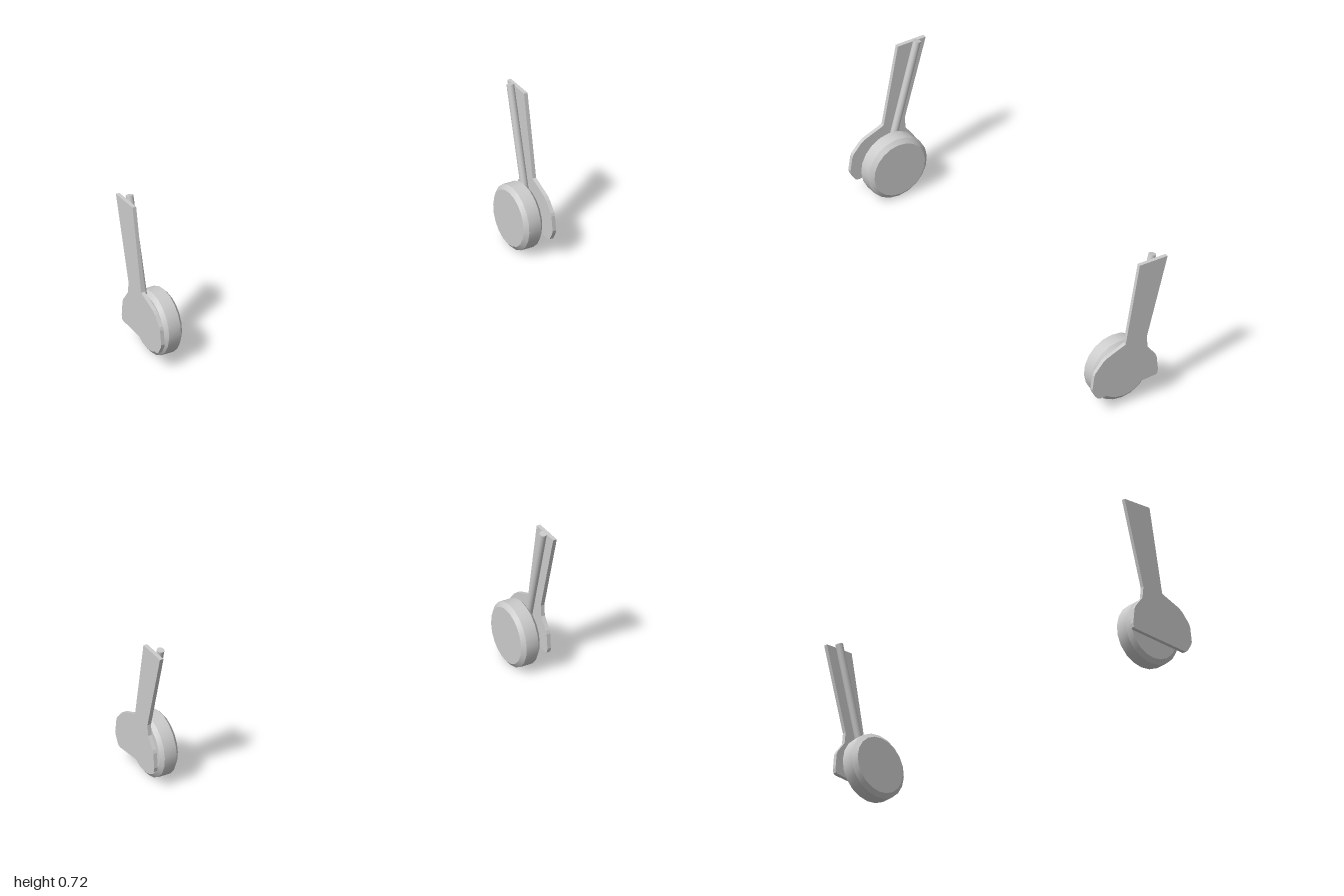
import * as THREE from 'three';
import { toCreasedNormals } from 'three/addons/utils/BufferGeometryUtils.js';

const material = new THREE.MeshStandardMaterial({ color: 0xcccccc });

function part(name, geometry) {
  const mesh = new THREE.Mesh(geometry, material);
  mesh.name = name;
  return mesh;
}

// Flat cover plate, outline given as [z, y]
function coverGeometry() {
  const outline = [
    [-0.05, 0.71], [-0.193, 0.71], [-0.085, 0.32], [-0.09, 0.268],
    [-0.13, 0.215], [-0.136, 0.2], [-0.143, 0.13], [-0.139, 0.112], [-0.133, 0.106],
    [0.155, 0.082], [0.168, 0.088], [0.174, 0.097], [0.19, 0.125], [0.194, 0.14],
    [0.184, 0.208], [0.178, 0.222], [0.14, 0.265], [0.122, 0.279], [0.023, 0.32],
  ];
  const shape = new THREE.Shape(outline.map(([z, y]) => new THREE.Vector2(-z, y)));
  const geometry = new THREE.ExtrudeGeometry(shape, { depth: 0.018, bevelEnabled: false });
  return geometry.translate(0, 0, -0.009).rotateY(Math.PI / 2);
}

// Chamfered wheel turned around the x axis
function wheelGeometry() {
  const profile = [[0, -0.047], [0.13, -0.047], [0.15, -0.03], [0.15, 0.03], [0.13, 0.047], [0, 0.047]]
    .map(([r, h]) => new THREE.Vector2(r, h));
  const geometry = new THREE.LatheGeometry(profile, 20).rotateZ(-Math.PI / 2);
  return toCreasedNormals(geometry, 0.5);
}

function createGear(side) {
  const gear = new THREE.Group();
  gear.name = side > 0 ? 'leftLandingGear' : 'rightLandingGear';

  const cover = part('coverPlate', coverGeometry());
  cover.position.x = side * 0.991;

  // Strut and wheel lean back together around the wheel centre
  const leg = new THREE.Group();
  leg.name = 'leg';
  leg.position.set(0, 0.152, 0.014);
  leg.rotation.x = -0.26;
  const wheel = part('wheel', wheelGeometry());
  wheel.position.x = side * 0.912;
  const strut = part('strut', new THREE.CylinderGeometry(0.017, 0.017, 0.588, 16));
  strut.position.set(side * 0.964, 0.294, 0);
  leg.add(wheel, strut);

  gear.add(cover, leg);
  return gear;
}

export function createModel() {
  const model = new THREE.Group();
  model.name = 'mainLandingGear';
  for (const side of [1, -1]) model.add(createGear(side));
  return model;
}
